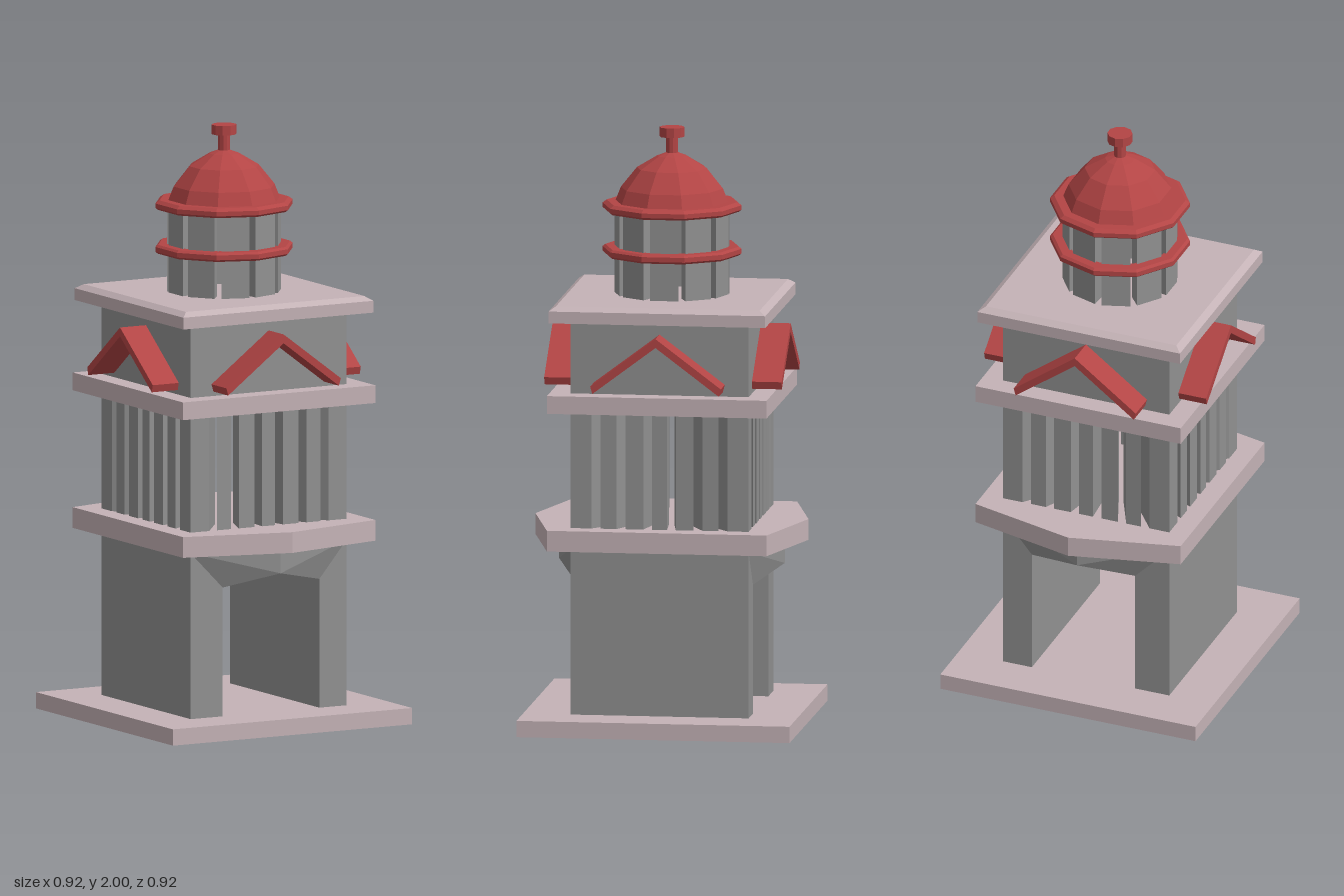
import * as THREE from 'three';

export function createModel() {
  const root = new THREE.Group();
  const mat = (name, color) => {
    const m = new THREE.MeshStandardMaterial({ color, side: THREE.DoubleSide });
    m.name = name;
    return m;
  };
  const stone = mat('grey stone', 0x919191);
  const trim = mat('pale pink trim', 0xc4b2b6);
  const red = mat('red roof', 0xb34545);

  const add = (name, geometry, material, parent = root) => {
    const mesh = new THREE.Mesh(geometry, material);
    mesh.name = name;
    parent.add(mesh);
    return mesh;
  };
  const group = (name) => {
    const g = new THREE.Group();
    g.name = name;
    root.add(g);
    return g;
  };
  const shapeOf = (pts) => new THREE.Shape(pts.map(([x, y]) => new THREE.Vector2(x, y)));
  const flat = (g) => {
    const out = g.index ? g.toNonIndexed() : g;
    out.computeVertexNormals();
    return out;
  };
  // Upright prism from a plan outline of [x, z] points
  const prism = (pts, y0, y1) =>
    new THREE.ExtrudeGeometry(shapeOf(pts.map(([x, z]) => [x, -z])), { depth: y1 - y0, bevelEnabled: false })
      .rotateX(-Math.PI / 2).translate(0, y0, 0);
  const slab = (half, y0, y1) =>
    new THREE.BoxGeometry(half * 2, y1 - y0, half * 2).translate(0, (y0 + y1) / 2, 0);
  // Prism between an outline on the outer wall and its copy shrunk to the axis
  const wedge = (outer, inner, y0, y1) =>
    prism([...outer, ...outer.map(([x, z]) => [x * inner, z * inner]).reverse()], y0, y1);

  // Hollow plinth, open below, with openings under the two legs
  const legs = [[-0.30, -0.177], [0.195, 0.30]];
  const base = group('base');
  const top = shapeOf([[-0.46, -0.46], [0.46, -0.46], [0.46, 0.46], [-0.46, 0.46]]);
  for (const [a, b] of legs) {
    top.holes.push(new THREE.Path([[a, -0.3], [a, 0.3], [b, 0.3], [b, -0.3]].map(([x, y]) => new THREE.Vector2(x, y))));
  }
  add('baseTop', new THREE.ShapeGeometry(top).rotateX(-Math.PI / 2).translate(0, 0.055, 0), trim, base);
  const rim = new THREE.CylinderGeometry(0.46 * Math.SQRT2, 0.46 * Math.SQRT2, 0.055, 4, 1, true);
  add('baseRim', flat(rim.rotateY(Math.PI / 4).translate(0, 0.0275, 0)), trim, base);

  // Legs: four walls each, no caps
  for (const [a, b] of legs) {
    const g = new THREE.BoxGeometry(b - a, 0.56, 0.6).translate((a + b) / 2, 0.335, 0);
    const index = Array.from(g.index.array);
    index.splice(12, 12);
    g.setIndex(index);
    g.clearGroups();
    add('leg', g, stone);
  }

  // Pointed arch that swells outwards to the front and the back
  const tri = [];
  const quad = (a, b, c, d) => tri.push(...a, ...b, ...c, ...a, ...c, ...d);
  for (const [outer, inner] of [[-0.30, -0.177], [0.30, 0.195]]) {
    for (const s of [1, -1]) {
      quad([outer, 0.615, 0.3 * s], [inner, 0.49, 0.3 * s], [0, 0.535, 0.38 * s], [0, 0.615, 0.38 * s]);
    }
    quad([inner, 0.49, 0.3], [0, 0.535, 0.38], [0, 0.535, -0.38], [inner, 0.49, -0.3]);
  }
  const arch = new THREE.BufferGeometry();
  arch.setAttribute('position', new THREE.Float32BufferAttribute(tri, 3));
  add('arch', flat(arch), stone);

  // Ledges
  add('lowerLedge', prism([[-0.37, 0.37], [0, 0.46], [0.37, 0.37], [0.37, -0.37], [0, -0.46], [-0.37, -0.37]], 0.615, 0.685), trim);
  add('middleLedge', slab(0.37, 1.08, 1.14), trim);
  add('upperLedge', slab(0.365, 1.385, 1.425), trim);
  const bevel = new THREE.CylinderGeometry(0.343 * Math.SQRT2, 0.365 * Math.SQRT2, 0.015, 4);
  add('upperLedgeBevel', flat(bevel.rotateY(Math.PI / 4).translate(0, 1.4325, 0)), trim);

  // Square storey of tapering pillars parted by slots that point to the axis
  const H = 0.30;
  const slots = [-0.214, -0.13, -0.04, 0.04, 0.13, 0.214];
  const gap = 0.015;
  const pillars = group('pillars');
  for (let side = 0; side < 4; side++) {
    for (let i = 0; i < slots.length; i++) {
      const a = slots[i] + gap;
      const last = i === slots.length - 1;
      const outline = last ? [[a, H], [H, H], [H, a]] : [[a, H], [slots[i + 1] - gap, H]];
      const p = add(last ? 'cornerPillar' : 'pillar', wedge(outline, 0.6, 0.685, 1.08), stone, pillars);
      p.rotation.y = side * Math.PI / 2;
    }
  }

  // Upper storey with a gable moulding on each side
  add('upperStorey', slab(H, 1.14, 1.385), stone);
  const gable = shapeOf([[-0.22, 1.18], [0, 1.345], [0.22, 1.18], [0.213, 1.155], [0, 1.315], [-0.213, 1.155]]);
  const gables = group('gables');
  for (let side = 0; side < 4; side++) {
    const g = new THREE.ExtrudeGeometry(gable, { depth: 0.10, bevelEnabled: false }).translate(0, 0, H);
    add('gable', g, red, gables).rotation.y = side * Math.PI / 2;
  }

  // Ten-sided lantern: one wedge pillar per side
  const lantern = group('lantern');
  for (let i = 0; i < 10; i++) {
    const p = add('lanternPillar', wedge([[-0.048, 0.186], [0.048, 0.186]], 0.7, 1.44, 1.73), stone, lantern);
    p.rotation.y = (i + 0.5) * Math.PI / 5;
  }

  // Red rings, faceted dome and finial
  const lathe = (name, pts) =>
    add(name, flat(new THREE.LatheGeometry(pts.map(([r, y]) => new THREE.Vector2(r, y)), 10)), red);
  lathe('railing', [[0.185, 1.57], [0.225, 1.57], [0.234, 1.577], [0.234, 1.593], [0.225, 1.6], [0.185, 1.6], [0.185, 1.57]]);
  lathe('eaves', [[0, 1.718], [0.225, 1.718], [0.234, 1.725], [0.234, 1.74], [0.22, 1.75], [0.19, 1.75]]);
  lathe('dome', [[0.192, 1.745], [0.172, 1.795], [0.118, 1.862], [0.05, 1.903], [0.018, 1.915]]);
  lathe('finial', [[0.02, 1.905], [0.02, 1.968], [0.042, 1.968], [0.042, 2.0], [0, 2.0]]);

  return root;
}
